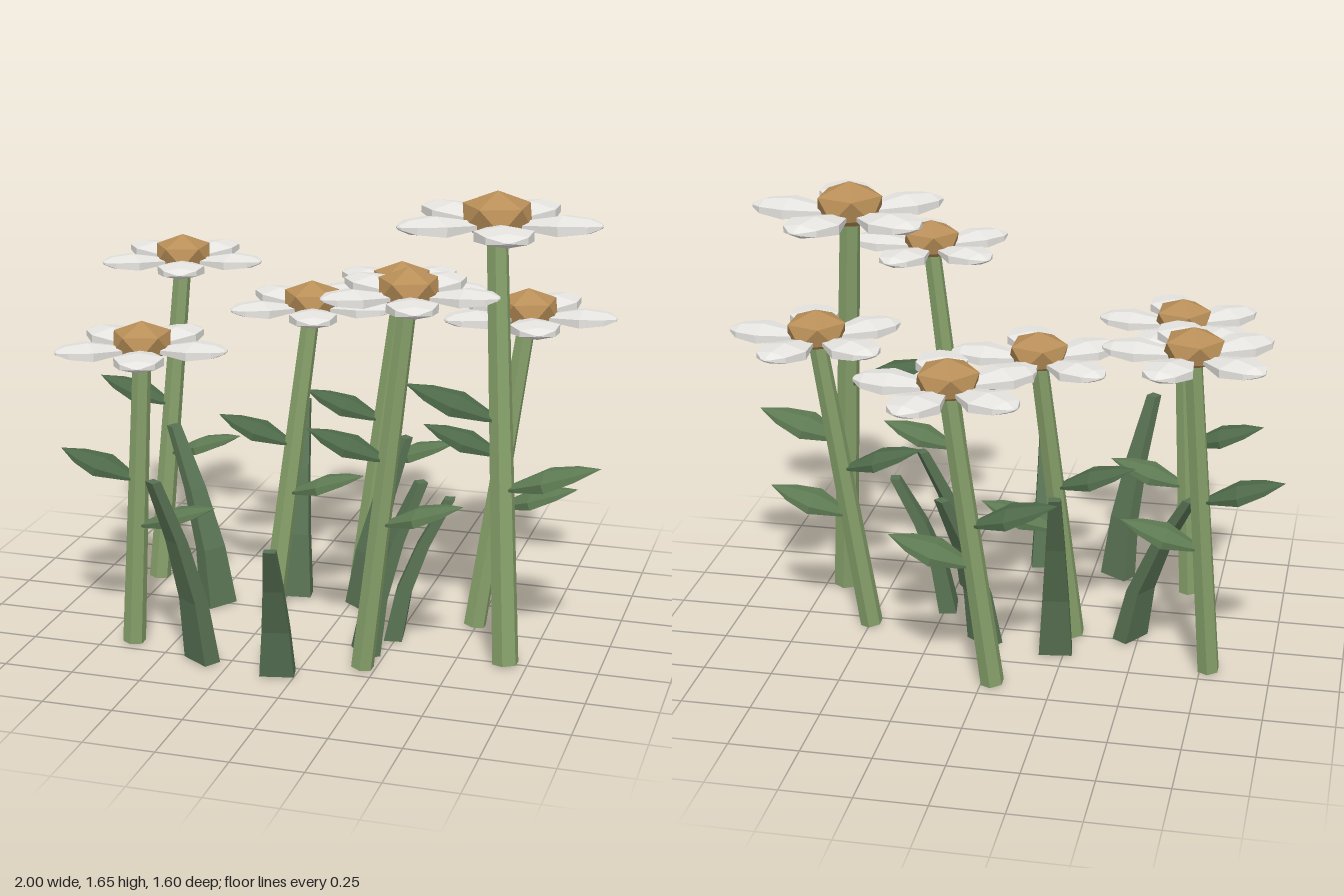
import * as THREE from 'three';

const mat = (color) => new THREE.MeshStandardMaterial({ color, flatShading: true });
const stemMat = mat(0x86a06a), leafMat = mat(0x5f7c54), darkLeafMat = mat(0x4f6b4a);
const petalMat = mat(0xe6e5e1), discMat = mat(0xb98f58), bladeMat = mat(0x577152);

// base x, base z, head x, petal height, head z, size, height of left leaf, height of right leaf
const FLOWERS = [
  [-0.78, -0.18, -0.70, 1.235, -0.29, 1.0, 0.68, 0.49],
  [-0.64, 0.44, -0.585, 1.09, 0.43, 1.0, 0.61, 0.44],
  [-0.26, 0.01, -0.15, 1.13, -0.14, 1.0, 0.62, 0.44],
  [-0.04, -0.42, 0.095, 1.135, -0.485, 1.06, 0.62, 0.46],
  [0.205, 0.43, 0.355, 1.34, 0.42, 1.0, 0.76, 0.53],
  [0.675, 0.26, 0.585, 1.535, 0.135, 1.17, 0.86, 0.62],
  [0.495, -0.05, 0.645, 1.155, -0.135, 1.03, 0.64, 0.45],
];

// base x, base z, tip x, tip height, tip z
const BLADES = [
  [-0.06, 0.57, -0.015, 0.53, 0.78],
  [-0.35, 0.53, -0.455, 0.70, 0.69],
  [0.24, 0.13, 0.43, 0.53, 0.10],
  [-0.22, -0.15, -0.25, 0.70, -0.37],
  [0.05, -0.11, 0.17, 0.62, -0.27],
  [0.18, 0.30, 0.345, 0.61, 0.18],
  [-0.47, 0.02, -0.69, 0.63, -0.13],
];

// Flattened faceted spindle pointing along +x, used for petals and leaves
function spindle(profile, flatness) {
  const geo = new THREE.LatheGeometry(profile.map(([r, y]) => new THREE.Vector2(r, y)), 6, Math.PI / 6);
  return geo.scale(flatness, 1, 1).rotateZ(-Math.PI / 2);
}
const petalGeo = spindle([[0, 0.05], [0.045, 0.08], [0.098, 0.19], [0.068, 0.27], [0.022, 0.303], [0, 0.308]], 0.3);
const leafGeo = spindle([[0, -0.01], [0.04, 0.04], [0.096, 0.14], [0.06, 0.23], [0, 0.305]], 0.3);

// Icosahedron with a vertex on top, squashed
const discGeo = new THREE.IcosahedronGeometry(0.115, 0)
  .rotateZ(Math.atan(2 / (1 + Math.sqrt(5)))).scale(1, 0.64, 1);

function add(parent, name, geo, material) {
  const mesh = new THREE.Mesh(geo, material);
  mesh.name = name;
  parent.add(mesh);
  return mesh;
}

function makeFlower([bx, bz, hx, hy, hz, s, leftY, rightY]) {
  const flower = new THREE.Group();
  flower.name = 'flower';

  // Leaning six-sided stem
  const base = new THREE.Vector3(bx, 0.007, bz), top = new THREE.Vector3(hx, hy, hz);
  const dir = top.clone().sub(base);
  const stem = add(flower, 'stem', new THREE.CylinderGeometry(0.032 * s, 0.041 * s, dir.length(), 6), stemMat);
  stem.position.copy(base).lerp(top, 0.5);
  stem.quaternion.setFromUnitVectors(new THREE.Vector3(0, 1, 0), dir.normalize());

  // One rising leaf on each side
  for (const [name, y, turn, material] of [['leftLeaf', leftY, Math.PI, darkLeafMat], ['rightLeaf', rightY, 0, leafMat]]) {
    const leaf = add(flower, name, leafGeo, material);
    leaf.position.copy(base).lerp(top, y / hy);
    leaf.rotation.set(0, turn, 0.31);
    leaf.scale.setScalar(s);
  }

  // Flower head: five petals around a domed disc
  const head = new THREE.Group();
  head.name = 'flowerHead';
  head.position.copy(top);
  head.scale.setScalar(s);
  for (let i = 0; i < 5; i++) {
    const petal = add(head, 'petal', petalGeo, petalMat);
    petal.rotation.set(0, i * Math.PI * 2 / 5, 0.04);
  }
  add(head, 'disc', discGeo, discMat).position.y = 0.026;
  flower.add(head);
  return flower;
}

// Tapered box bent outwards towards its tip
function makeBlade([bx, bz, tx, h, tz]) {
  const geo = new THREE.BoxGeometry(0.12, 1, 0.065, 1, 3, 1);
  const dx = tx - bx, dz = tz - bz, len = Math.hypot(dx, dz);
  const ux = dx / len, uz = dz / len;
  const p = geo.attributes.position;
  for (let i = 0; i < p.count; i++) {
    const t = p.getY(i) + 0.5, lean = len * t ** 1.6;
    const w = p.getX(i) * (1 - 0.65 * t), d = p.getZ(i) * (1 - 0.45 * t);
    p.setXYZ(i, bx + ux * (lean + d) + uz * w, 0.007 + t * h, bz + uz * (lean + d) - ux * w);
  }
  geo.computeVertexNormals();
  return geo;
}

export function createModel() {
  const model = new THREE.Group();
  model.name = 'flowerPatch';
  for (const f of FLOWERS) model.add(makeFlower(f));
  for (const b of BLADES) add(model, 'grassBlade', makeBlade(b), bladeMat);
  return model;
}
